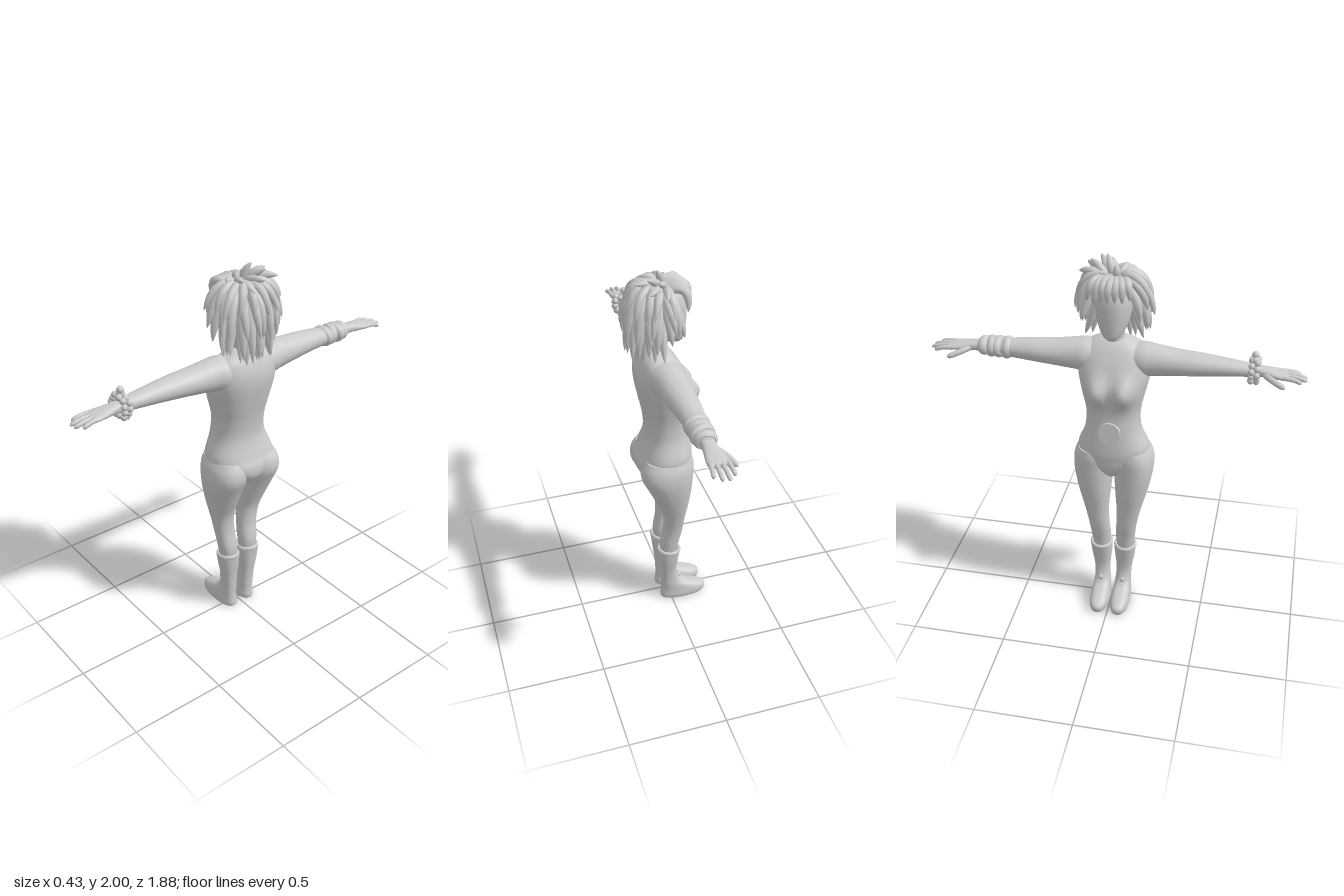
import * as THREE from 'three';
import { mergeVertices } from 'three/addons/utils/BufferGeometryUtils.js';

const V = (x, y, z) => new THREE.Vector3(x, y, z);
const material = new THREE.MeshStandardMaterial({ color: 0xcccccc, roughness: 0.8 });

// Smooth loft along y or z. Rows: [t, xMin, xMax, otherMin, otherMax], t rising.
function loft(axis, rows, { power = 1, sides = 32, steps = 5, rule } = {}) {
  const curveA = new THREE.CatmullRomCurve3(rows.map(r => V(r[0], r[1], r[2])), false, 'catmullrom', 0.5);
  const curveB = new THREE.CatmullRomCurve3(rows.map(r => V(r[0], r[3], r[4])), false, 'catmullrom', 0.5);
  const count = (rows.length - 1) * steps;
  const rings = [];
  for (let i = 0; i <= count; i++) rings.push([curveA.getPoint(i / count), curveB.getPoint(i / count), 1]);
  const [first, last] = [rings[0], rings[count]];
  rings.unshift([first[0], first[1], 0], first);
  rings.push(last, [last[0], last[1], 0]);
  const soft = v => Math.sign(v) * Math.abs(v) ** power;
  const pos = [], index = [];
  rings.forEach(([a, b, k]) => {
    for (let j = 0; j < sides; j++) {
      const th = (j / sides) * Math.PI * 2;
      const x = (a.y + a.z) / 2 + k * soft(Math.cos(th)) * (a.z - a.y) / 2;
      const o = (b.y + b.z) / 2 + k * soft(Math.sin(th)) * (b.z - b.y) / 2;
      const p = axis === 'y' ? V(x, a.x, o) : V(x, o, a.x);
      if (rule) rule(p);
      pos.push(p.x, p.y, p.z);
    }
  });
  for (let i = 0; i < rings.length - 1; i++) {
    if (i === 1 || i === rings.length - 3) continue; // keeps the end caps crisp
    for (let j = 0; j < sides; j++) {
      const a = i * sides + j, b = i * sides + (j + 1) % sides, c = a + sides, d = b + sides;
      if (axis === 'y') index.push(a, c, b, b, c, d);
      else index.push(a, b, c, b, d, c);
    }
  }
  const g = new THREE.BufferGeometry();
  g.setAttribute('position', new THREE.Float32BufferAttribute(pos, 3));
  g.setIndex(index);
  g.computeVertexNormals();
  return g;
}

// Tube along a bent path whose radius follows a profile
function strand(points, radius, profile, seg = 12, sides = 8) {
  const curve = points.length === 3 ? new THREE.QuadraticBezierCurve3(...points) : new THREE.CatmullRomCurve3(points);
  let g = new THREE.TubeGeometry(curve, seg, radius, sides);
  const p = g.attributes.position, v = V();
  for (let i = 0; i < p.count; i++) {
    const u = Math.floor(i / (sides + 1)) / seg, c = curve.getPointAt(u);
    v.fromBufferAttribute(p, i).sub(c).multiplyScalar(Math.max(profile(u), 0.01)).add(c);
    p.setXYZ(i, v.x, v.y, v.z);
  }
  g.deleteAttribute('uv');
  g.deleteAttribute('normal');
  g = mergeVertices(g, 1e-6);
  g.computeVertexNormals();
  return g;
}
const fingerProfile = u => (u < 0.8 ? 1 - 0.15 * u : 0.88 * Math.sqrt(Math.max(0, 1 - ((u - 0.8) / 0.2) ** 2)));
const lockProfile = u => (1 - u) ** 0.8 * (0.6 + 1.7 * u);

function mirrorZ(geo) {
  const g = geo.clone().scale(1, 1, -1), ix = g.index.array;
  for (let i = 0; i < ix.length; i += 3) [ix[i], ix[i + 1]] = [ix[i + 1], ix[i]];
  return g;
}

export function createModel() {
  const model = new THREE.Group();
  const add = (name, geo, parent = model) => {
    const m = new THREE.Mesh(geo, material);
    m.name = name;
    parent.add(m);
    return m;
  };
  const pair = (name, geo) => { add(name + 'A', geo); add(name + 'B', mirrorZ(geo)); };

  // Torso: the body faces -x; its lower end narrows into the high-cut leg line
  const bust = p => {
    if (p.x < 0) p.x -= 0.058 * Math.exp(-(((p.y - 1.345) / 0.07) ** 2) - ((Math.abs(p.z) - 0.07) / 0.06) ** 2);
  };
  add('torso', loft('y', [
    [0.815, -0.04, 0.07, -0.012, 0.012], [0.85, -0.085, 0.135, -0.055, 0.055], [0.9, -0.107, 0.168, -0.115, 0.115],
    [0.95, -0.113, 0.168, -0.168, 0.168], [1.0, -0.115, 0.148, -0.182, 0.182], [1.1, -0.107, 0.12, -0.144, 0.144],
    [1.2, -0.097, 0.125, -0.138, 0.138], [1.3, -0.098, 0.145, -0.158, 0.158], [1.4, -0.092, 0.163, -0.18, 0.18],
    [1.47, -0.07, 0.163, -0.182, 0.182], [1.53, -0.035, 0.145, -0.165, 0.165], [1.57, 0.0, 0.12, -0.1, 0.1],
    [1.585, 0.025, 0.1, -0.05, 0.05]], { power: 0.85, sides: 56, rule: bust }));
  add('neck', loft('y', [[1.5, -0.01, 0.12, -0.06, 0.06], [1.58, 0.005, 0.105, -0.047, 0.047], [1.68, 0.0, 0.105, -0.047, 0.047]]));
  const buckle = add('buckle', new THREE.CylinderGeometry(0.055, 0.058, 0.014, 32));
  buckle.position.set(-0.108, 1.12, 0);
  buckle.rotation.z = Math.PI / 2 - 0.13;

  // Head
  add('head', loft('y', [
    [1.608, -0.062, -0.02, -0.02, 0.02], [1.63, -0.078, 0.04, -0.048, 0.048], [1.68, -0.085, 0.1, -0.073, 0.073],
    [1.75, -0.09, 0.135, -0.088, 0.088], [1.82, -0.086, 0.145, -0.09, 0.09], [1.88, -0.06, 0.125, -0.07, 0.07],
    [1.91, 0.0, 0.07, -0.02, 0.02]], { power: 0.9 }));

  // Legs
  pair('leg', loft('y', [
    [0.3, -0.03, 0.055, 0.025, 0.105], [0.4, -0.042, 0.06, 0.016, 0.118], [0.5, -0.06, 0.043, 0.02, 0.13],
    [0.6, -0.07, 0.047, 0.022, 0.15], [0.7, -0.085, 0.085, 0.014, 0.177], [0.8, -0.096, 0.13, 0.006, 0.2],
    [0.88, -0.102, 0.166, 0.0, 0.21], [0.94, -0.106, 0.164, 0.0, 0.203], [0.985, -0.1, 0.14, 0.02, 0.182]], { power: 0.9 }));

  // Boots with a folded rim
  pair('boot', loft('y', [
    [0, -0.195, 0.055, 0.008, 0.106], [0.02, -0.203, 0.056, 0.004, 0.11], [0.045, -0.196, 0.052, 0.006, 0.108],
    [0.07, -0.145, 0.05, 0.01, 0.105], [0.1, -0.075, 0.05, 0.014, 0.102], [0.14, -0.044, 0.052, 0.018, 0.1],
    [0.2, -0.032, 0.056, 0.018, 0.105], [0.28, -0.04, 0.066, 0.01, 0.118], [0.345, -0.05, 0.072, 0.006, 0.125]], { power: 0.85 }));
  pair('bootRim', new THREE.TorusGeometry(0.053, 0.009, 10, 32).rotateX(Math.PI / 2).scale(1.06, 1.3, 1)
    .rotateZ(0.1).translate(0.011, 0.347, 0.066));
  pair('bootTongue', strand([V(-0.03, 0.1, 0.06), V(-0.05, 0.13, 0.06), V(-0.05, 0.148, 0.06)], 0.014, fingerProfile));

  // Arms
  pair('arm', loft('z', [
    [0.08, -0.03, 0.13, 1.42, 1.555], [0.14, -0.045, 0.135, 1.395, 1.565], [0.2, -0.042, 0.122, 1.4, 1.56],
    [0.3, -0.04, 0.11, 1.413, 1.547], [0.4, -0.036, 0.1, 1.423, 1.54], [0.5, -0.026, 0.09, 1.432, 1.53],
    [0.6, -0.016, 0.08, 1.44, 1.518], [0.7, -0.002, 0.066, 1.447, 1.505]]));

  // Hands
  pair('palm', loft('z', [
    [0.68, 0.0, 0.066, 1.449, 1.504], [0.73, -0.004, 0.068, 1.452, 1.5], [0.79, -0.017, 0.078, 1.452, 1.49],
    [0.83, -0.02, 0.082, 1.453, 1.483], [0.85, -0.012, 0.074, 1.457, 1.477]], { power: 0.85 }));
  [[-0.01, -0.018, 0.915], [0.017, 0.014, 0.942], [0.043, 0.046, 0.938], [0.067, 0.078, 0.91]].forEach(([x0, x1, z], i) =>
    pair('finger' + i, strand([V(x0, 1.469, 0.82), V((x0 + x1) / 2, 1.472, 0.88), V(x1, 1.451, z)], 0.0125, fingerProfile)));
  pair('thumb', strand([V(0.01, 1.472, 0.735), V(-0.03, 1.46, 0.77), V(-0.056, 1.437, 0.84)], 0.016, fingerProfile));

  // Beaded bracelet on one wrist
  const bracelet = new THREE.Group();
  bracelet.name = 'bracelet';
  model.add(bracelet);
  for (let row = 0; row < 2; row++) for (let i = 0; i < 11; i++) {
    const a = ((i + row / 2) / 11) * Math.PI * 2, r = 0.046 + 0.008 * (i % 2);
    add('bead', new THREE.SphereGeometry(0.0165, 12, 8), bracelet)
      .position.set(0.033 + r * 1.15 * Math.cos(a), 1.478 + r * Math.sin(a), 0.672 + row * 0.026);
  }
  [0.535, 0.558].forEach((y, i) => add('charm', new THREE.SphereGeometry(0.018, 12, 8), bracelet).position.set(0.025 + i * 0.01, 1 + y, 0.685));

  // Wound cloth cuff on the other wrist
  [[-0.545, 0.12, 0.044], [-0.585, -0.18, 0.042], [-0.625, 0.15, 0.042], [-0.662, -0.1, 0.036]].forEach(([z, tilt, r]) => {
    const wrap = add('cuffWrap', new THREE.TorusGeometry(r, 0.017, 12, 32).scale(1.06, 0.92, 1.4));
    wrap.position.set(0.033, 1.479, z);
    wrap.rotation.set(tilt, tilt, 0);
  });

  // Hair: a cap over the skull covered by tiers of pointed locks
  const hair = new THREE.Group();
  hair.name = 'hair';
  model.add(hair);
  add('hairCap', new THREE.SphereGeometry(1, 32, 20).scale(0.108, 0.105, 0.108).translate(0.05, 1.82, 0), hair);
  let seed = 7;
  const jitter = s => ((seed = (seed * 16807) % 2147483647) / 2147483647 - 0.5) * 2 * s;
  const lock = (pts, w) => add('lock', strand(pts, w, lockProfile), hair);
  const around = (phi, r, y) => V(0.045 + r * Math.cos(phi), y, r * Math.sin(phi));
  // [count, half sweep, root radius, root y, bend radius, bend y, tip radius, tip y at back, tip rise at front, width]
  [[13, 2.0, 0.085, 1.87, 0.145, 1.8, 0.145, 1.56, 0.14, 0.027],
    [9, 1.5, 0.07, 1.8, 0.11, 1.7, 0.12, 1.54, 0.1, 0.024],
    [13, 1.95, 0.06, 1.9, 0.165, 1.88, 0.168, 1.66, 0.08, 0.026],
    [10, 1.8, 0.03, 1.91, 0.14, 1.94, 0.165, 1.77, 0.05, 0.025]].forEach(([n, sweep, r0, y0, r1, y1, r2, y2, rise, w]) => {
    for (let i = 0; i < n; i++) {
      const phi = sweep * (2 * i / (n - 1) - 1) + jitter(0.05), front = Math.abs(phi) / 2;
      const r = r2 + jitter(0.012) + 0.022 * Math.abs(Math.sin(phi)) - 0.03 * Math.max(0, front - 0.8);
      lock([around(phi, r0, y0), around(phi, r1, y1), around(phi + jitter(0.15), r, y2 + rise * front ** 2 + jitter(0.025))], w);
    }
  });
  // Crown spikes swept to the back and one side
  [[0.065, 2.0, -0.04], [0.02, 1.965, 0.01], [0.12, 1.975, -0.08], [0.07, 1.965, -0.12], [0.13, 1.93, -0.15],
    [0.05, 1.91, -0.175], [0.17, 1.94, -0.04], [0.185, 1.9, 0.03], [0.12, 1.94, 0.05], [0.05, 1.93, 0.09]].forEach(([x, y, z]) =>
    lock([V(0.03 + x * 0.1, 1.89, z * 0.3), V(x * 0.4, 1.94, z * 0.6 + 0.015), V(x, y, z)], 0.024));
  // Fringe rolling over the forehead
  for (let i = 0; i < 7; i++) {
    const z = -0.09 + i * 0.03;
    lock([V(0.01, 1.895, z * 0.6), V(-0.125 + Math.abs(z) * 0.4, 1.945, z), V(-0.092 + Math.abs(z) * 0.3, 1.81 + jitter(0.025), z * 1.15 - 0.012)], 0.025);
  }
  return model;
}
